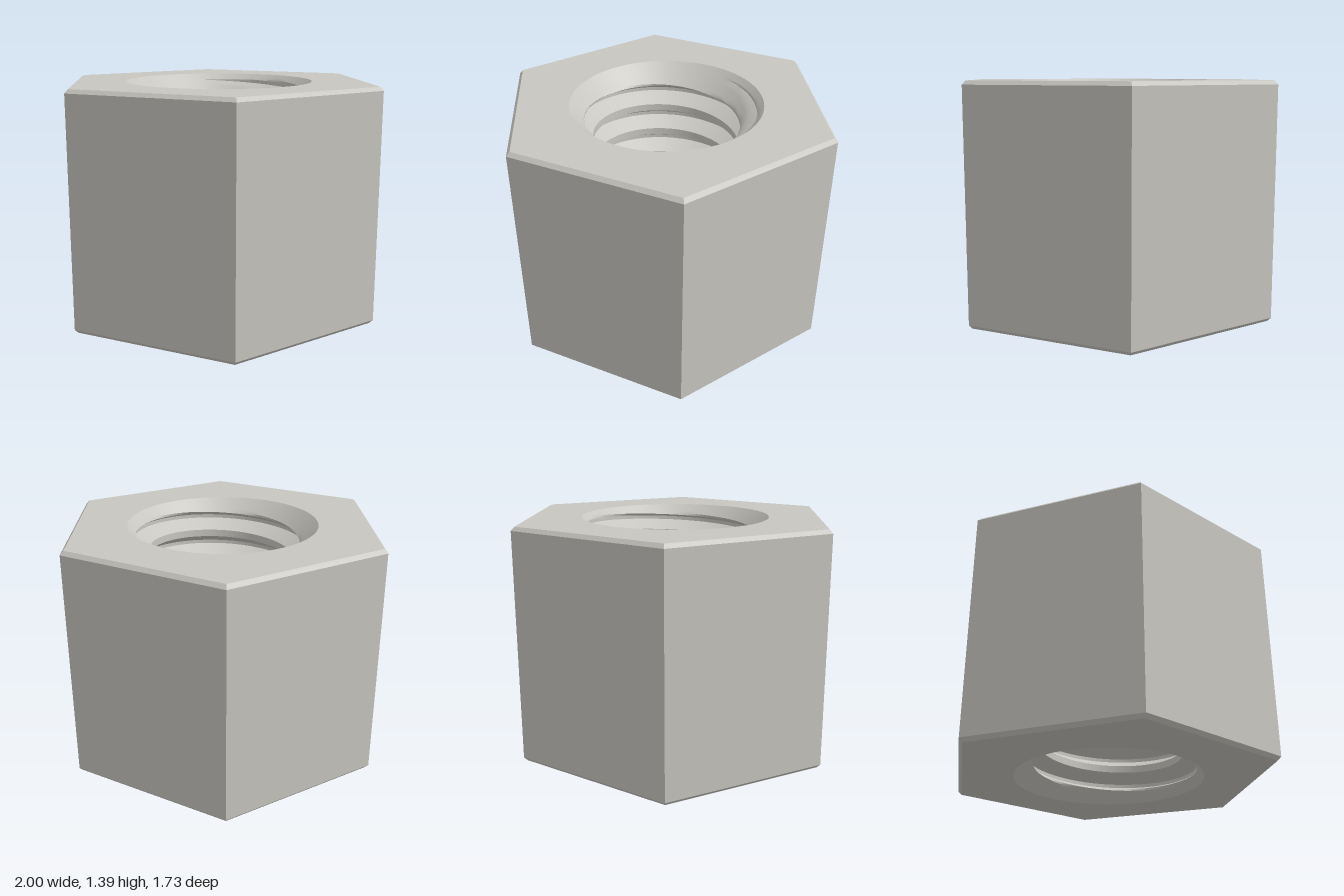
import * as THREE from 'three';
import { toCreasedNormals } from 'three/addons/utils/BufferGeometryUtils.js';

const H = 1.386;        // height
const R = 1;            // hexagon corner radius
const EDGE = 0.022;     // outer chamfer
const MOUTH = 0.555;    // bore radius at the faces
const CREST = 0.428, ROOT = 0.52, PITCH = 0.173; // internal thread
const SEG = 96;

// Thread tooth over one pitch: [fraction of pitch, radius]
const TOOTH = [[0, CREST], [0.25, CREST], [0.5625, ROOT], [0.6875, ROOT], [1, CREST]];
const SUB = 4;          // subdivisions per tooth segment

// Hexagonal outside with chamfered top and bottom edges
function hexSides() {
  const profile = [[R - EDGE, 0], [R, EDGE], [R, H - EDGE], [R - EDGE, H]]
    .map(([x, y]) => new THREE.Vector2(x, y));
  const g = new THREE.LatheGeometry(profile, 6, Math.PI / 2).toNonIndexed();
  g.computeVertexNormals();
  return g;
}

// Flat hexagonal face with the round bore opening
function hexFace() {
  const ring = (r, n) => Array.from({ length: n }, (_, i) => {
    const a = i / n * Math.PI * 2;
    return new THREE.Vector2(r * Math.cos(a), r * Math.sin(a));
  });
  const shape = new THREE.Shape(ring(R - EDGE, 6));
  shape.holes.push(new THREE.Path(ring(MOUTH, SEG).reverse()));
  return new THREE.ShapeGeometry(shape);
}

// Right-hand helical thread, cut by a 45 degree countersink at both ends
function threadedBore() {
  const rows = [];
  for (let turn = -2; turn <= Math.ceil(H / PITCH) + 1; turn++) {
    for (let s = 0; s < TOOTH.length - 1; s++) {
      for (let k = 0; k < SUB; k++) {
        const f = k / SUB, [u0, r0] = TOOTH[s], [u1, r1] = TOOTH[s + 1];
        rows.push([(turn + u0 + (u1 - u0) * f) * PITCH, r0 + (r1 - r0) * f]);
      }
    }
  }
  const phase = 1.363 % PITCH;
  const point = (row, j) => {
    const t = j / SEG * Math.PI * 2;
    const y = THREE.MathUtils.clamp(row[0] + phase + PITCH * j / SEG, 0, H);
    const r = Math.max(row[1], MOUTH - Math.min(y, H - y));
    return new THREE.Vector3(r * Math.cos(t), y, -r * Math.sin(t));
  };
  const pos = [];
  const tri = (...pts) => pts.forEach((p) => pos.push(p.x, p.y, p.z));
  for (let i = 0; i < rows.length - 1; i++) {
    for (let j = 0; j < SEG; j++) {
      const a = point(rows[i], j), b = point(rows[i], j + 1);
      const c = point(rows[i + 1], j + 1), d = point(rows[i + 1], j);
      if (d.y > a.y) tri(a, d, b);
      if (c.y > b.y) tri(b, d, c);
    }
  }
  const g = new THREE.BufferGeometry();
  g.setAttribute('position', new THREE.Float32BufferAttribute(pos, 3));
  return toCreasedNormals(g, Math.PI / 6);
}

export function createModel() {
  const steel = new THREE.MeshStandardMaterial({ color: 0xc8c6c0 });
  steel.name = 'steel';

  const group = new THREE.Group();
  group.name = 'hexNut';
  const add = (name, geometry) => {
    const mesh = new THREE.Mesh(geometry, steel);
    mesh.name = name;
    group.add(mesh);
    return mesh;
  };

  add('hexSides', hexSides());
  add('topFace', hexFace().rotateX(-Math.PI / 2).translate(0, H, 0));
  add('bottomFace', hexFace().rotateX(Math.PI / 2));
  add('threadedBore', threadedBore());
  return group;
}
